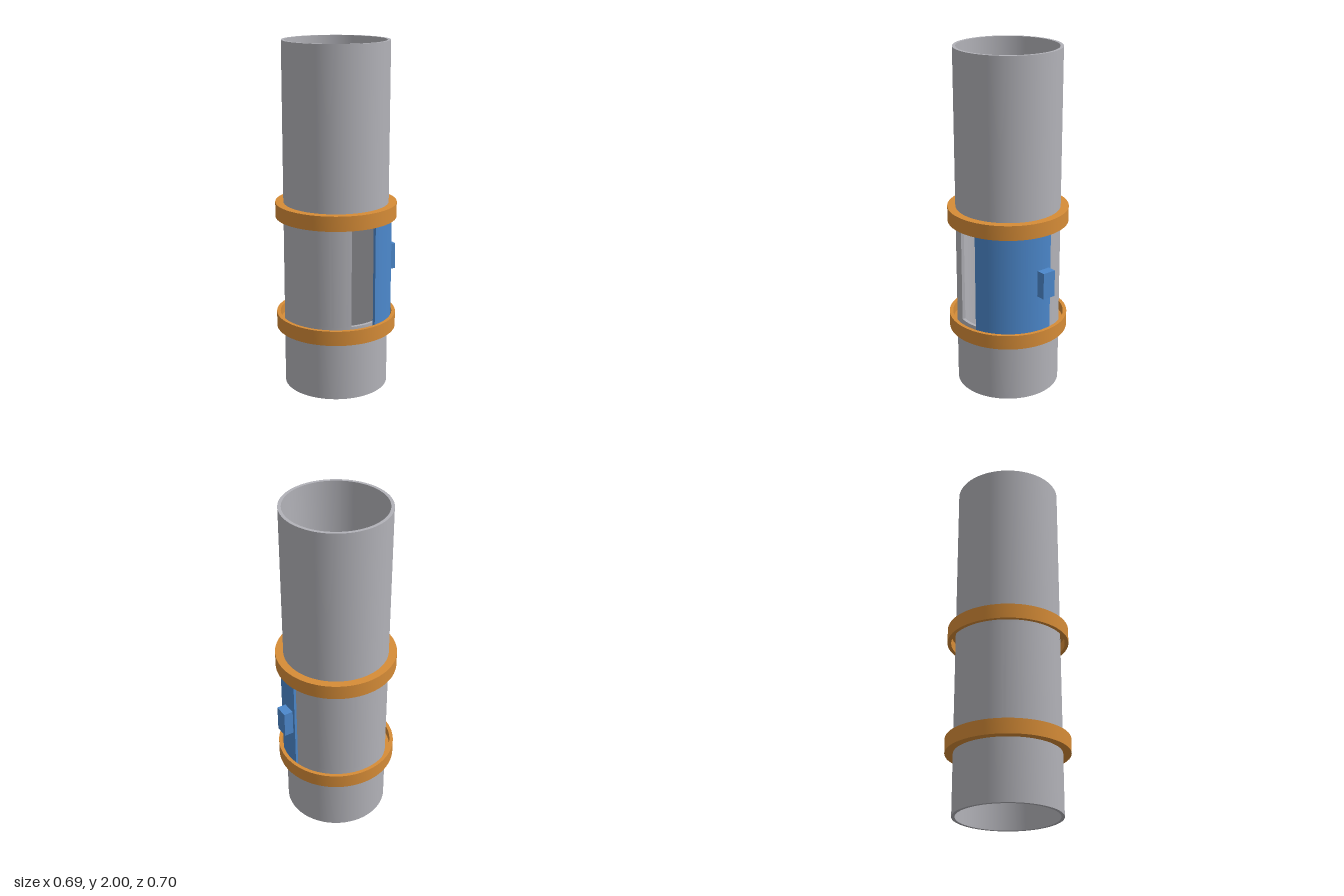
import * as THREE from 'three';
import { toCreasedNormals } from 'three/addons/utils/BufferGeometryUtils.js';

const rad = THREE.MathUtils.degToRad;
const MID = 0.72;          // height of the opening's centre
const HALF_OPEN = 33;      // half angle of the opening, degrees

// Curved wall between two radii; angles run from +x towards -z
function wall(inner, outer, from, to, y0, y1) {
  const shape = new THREE.Shape();
  if (to - from >= 360) {
    shape.absarc(0, 0, outer, 0, Math.PI * 2, false);
    const hole = new THREE.Path();
    hole.absarc(0, 0, inner, 0, Math.PI * 2, true);
    shape.holes.push(hole);
  } else {
    shape.absarc(0, 0, outer, rad(from), rad(to), false);
    shape.absarc(0, 0, inner, rad(to), rad(from), true);
    shape.closePath();
  }
  const geo = new THREE.ExtrudeGeometry(shape, { depth: y1 - y0, bevelEnabled: false, curveSegments: 72 });
  geo.rotateX(-Math.PI / 2);
  geo.translate(0, y0, 0);
  return toCreasedNormals(geo, rad(30));
}

export function createModel() {
  const model = new THREE.Group();
  model.name = 'slidingDoorTube';
  const body = new THREE.Group();
  body.position.z = 0.004;
  model.add(body);

  const grey = new THREE.MeshStandardMaterial({ color: 0xb2b2b8 });
  grey.name = 'grey';
  const orange = new THREE.MeshStandardMaterial({ color: 0xd68c37 });
  orange.name = 'orange';
  const blue = new THREE.MeshStandardMaterial({ color: 0x4c88cc });
  blue.name = 'blue';

  function add(name, geometry, material, parent = body) {
    const mesh = new THREE.Mesh(geometry, material);
    mesh.name = name;
    parent.add(mesh);
    return mesh;
  }

  // Open tube with a side opening
  const tube = new THREE.Group();
  tube.name = 'tube';
  body.add(tube);
  const low = MID - 0.283, high = MID + 0.283;
  add('tubeLower', wall(0.282, 0.3, 0, 360, 0, low), grey, tube);
  add('tubeMiddle', wall(0.282, 0.3, HALF_OPEN, 360 - HALF_OPEN, low, high), grey, tube);
  add('tubeUpper', wall(0.282, 0.3, 0, 360, high, 2), grey, tube);

  // Grooved collars that guide the door, mirrored about the opening's centre
  const profile = [
    [0.3, -0.373], [0.346, -0.373], [0.346, -0.288], [0.325, -0.288],
    [0.325, -0.345], [0.3, -0.345], [0.3, -0.373],
  ];
  for (const side of [1, -1]) {
    const points = profile.map(([r, y]) => new THREE.Vector2(r, MID + y * side));
    if (side < 0) points.reverse();
    const geo = toCreasedNormals(new THREE.LatheGeometry(points, 96), rad(30));
    add(side > 0 ? 'lowerCollar' : 'upperCollar', geo, orange);
  }

  // Curved door, slid partly open
  const door = new THREE.Group();
  door.name = 'door';
  body.add(door);
  add('doorPanel', wall(0.303, 0.319, -6.5, 76.5, MID - 0.33, MID + 0.33), blue, door);

  // Handle block near the door's trailing edge
  const handle = add('doorHandle', new THREE.BoxGeometry(0.055, 0.155, 0.08), blue, door);
  const a = rad(66.5);
  handle.position.set(Math.cos(a) * 0.3435, MID + 0.002, -Math.sin(a) * 0.3435);
  handle.rotation.y = a;

  return model;
}
